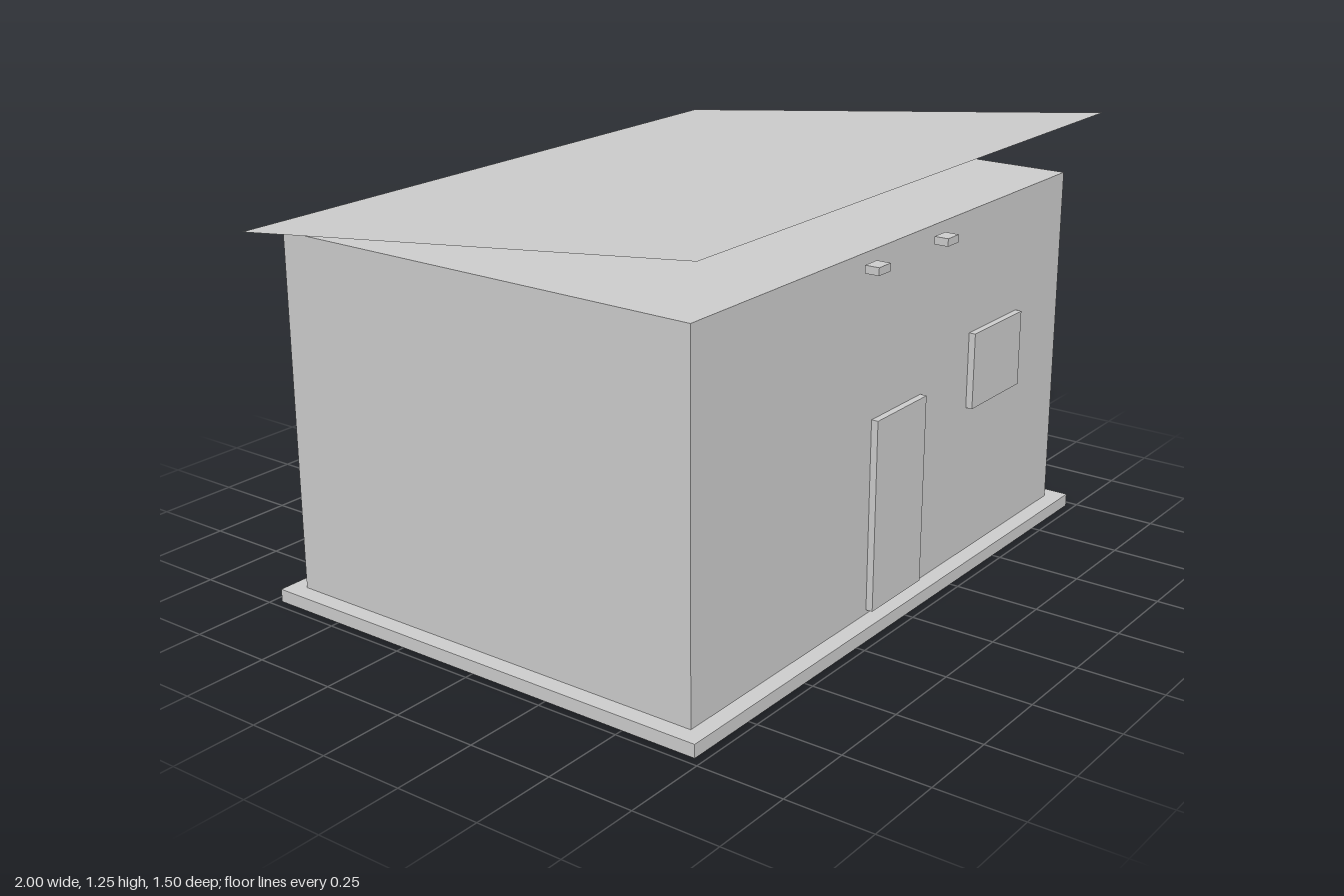
import * as THREE from 'three';

export function createModel() {
  const group = new THREE.Group();
  const grey = new THREE.MeshStandardMaterial({ color: 0xcccccc, side: THREE.DoubleSide });
  grey.name = 'plain grey';

  const add = (name, geometry, x, y, z) => {
    const mesh = new THREE.Mesh(geometry, grey);
    mesh.name = name;
    mesh.position.set(x, y, z);
    group.add(mesh);
    return mesh;
  };

  // Solid box from its low and high corners
  const box = (name, [x0, y0, z0], [x1, y1, z1]) =>
    add(name, new THREE.BoxGeometry(x1 - x0, y1 - y0, z1 - z0),
      (x0 + x1) / 2, (y0 + y1) / 2, (z0 + z1) / 2);

  // Thin-walled box standing on the ground, without its bottom face
  const shell = (name, width, height, depth) => {
    const g = new THREE.BoxGeometry(width, height, depth);
    const index = Array.from(g.index.array);
    index.splice(18, 6); // bottom face
    g.setIndex(index);
    g.clearGroups();
    return add(name, g, 0, height / 2, 0);
  };

  // House body and the plinth around its foot
  shell('plinth', 1.95, 0.038, 1.45);
  shell('walls', 1.848, 1.075, 1.35);

  // Door and windows
  box('door', [-0.126, 0.05, 0.675], [0.125, 0.604, 0.695]);
  box('frontWindow', [0.387, 0.488, 0.675], [0.66, 0.713, 0.695]);
  box('sideWindow', [0.924, 0.488, -0.138], [0.944, 0.713, 0.138]);

  // Two small lamps above the door
  for (const x of [-0.176, 0.172]) {
    box('lamp', [x - 0.028, 1.028, 0.69], [x + 0.028, 1.05, 0.732]);
  }

  // Single-pitch roof sheet, high at the front
  const rise = 0.174, run = 1.5;
  const sheet = new THREE.PlaneGeometry(2, Math.hypot(rise, run));
  sheet.rotateX(-Math.PI / 2 - Math.atan2(rise, run));
  add('roof', sheet, 0, 1.164, 0);

  return group;
}
